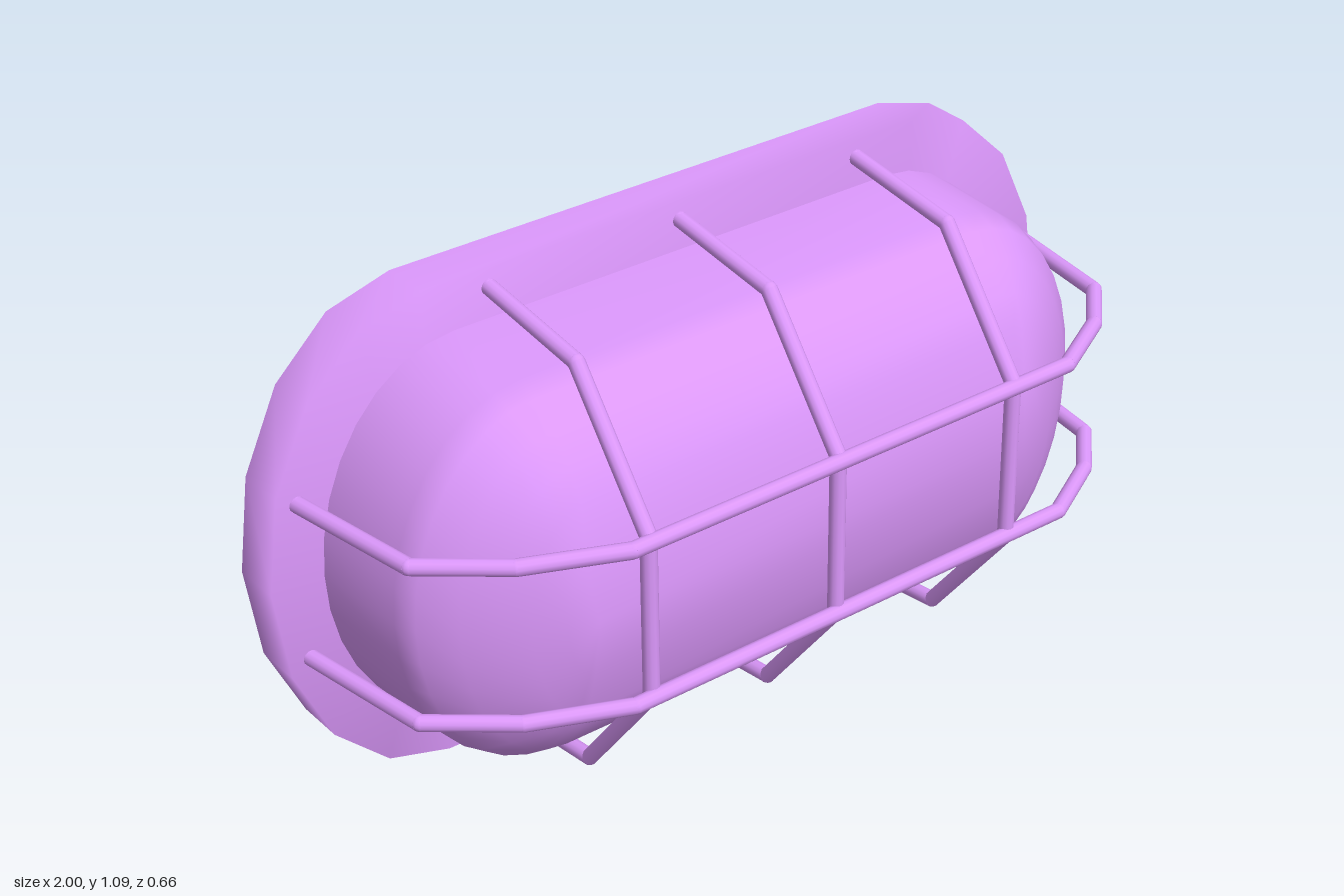
import * as THREE from 'three';
import { mergeVertices } from 'three/addons/utils/BufferGeometryUtils.js';

const CY = 0.545, BACK = -0.327, FRONT = -0.215, FLOOR = -0.235, WIRE_END = -0.242;
const purple = new THREE.MeshStandardMaterial({ color: 0xdc98fc });
const purpleShell = new THREE.MeshStandardMaterial({ color: 0xdc98fc, side: THREE.DoubleSide });
const greenShell = new THREE.MeshStandardMaterial({ color: 0xb4e474, side: THREE.DoubleSide });

// Smooth loft through stadium sections [z, end length, half height],
// each with a straight middle of half length `core` and elliptical ends of n segments
function loft(name, core, n, sections, material) {
  const pos = [], idx = [], count = 2 * (n + 1);
  for (const [z, endX, halfY] of sections) {
    for (const side of [1, -1]) {
      for (let i = 0; i <= n; i++) {
        const a = -Math.PI / 2 + (Math.PI * i) / n;
        pos.push(side * (core + endX * Math.cos(a)), CY + side * halfY * Math.sin(a), z);
      }
    }
  }
  for (let s = 0; s < sections.length - 1; s++) {
    for (let i = 0; i < count; i++) {
      const a = s * count + i, b = s * count + ((i + 1) % count);
      idx.push(a, b, b + count, a, b + count, a + count);
    }
  }
  let geo = new THREE.BufferGeometry();
  geo.setAttribute('position', new THREE.Float32BufferAttribute(pos, 3));
  geo.setIndex(idx);
  geo = mergeVertices(geo);
  geo.computeVertexNormals();
  const mesh = new THREE.Mesh(geo, material);
  mesh.name = name;
  return mesh;
}

// Bent wire: straight rods with round elbows
function wire(name, points, radius = 0.0175) {
  const group = new THREE.Group();
  group.name = name;
  points.forEach((p, i) => {
    if (i === points.length - 1) return;
    const dir = points[i + 1].clone().sub(p);
    const rod = new THREE.Mesh(new THREE.CylinderGeometry(radius, radius, dir.length(), 12), purple);
    rod.name = 'rod';
    rod.position.copy(p).addScaledVector(dir, 0.5);
    rod.quaternion.setFromUnitVectors(new THREE.Vector3(0, 1, 0), dir.normalize());
    group.add(rod);
    if (i > 0) {
      const elbow = new THREE.Mesh(new THREE.SphereGeometry(radius, 12, 8), purple);
      elbow.name = 'elbow';
      elbow.position.copy(p);
      group.add(elbow);
    }
  });
  return group;
}

export function createModel() {
  const model = new THREE.Group();
  model.name = 'bulkheadLamp';

  // Mounting plate: a shallow tray, open at the back
  model.add(loft('plateShell', 0.62, 8, [
    [BACK, 0.38, 0.543], [FRONT, 0.38, 0.543], [FRONT, 0, 0],
  ], purpleShell));
  model.add(loft('plateInside', 0.62, 8, [
    [BACK, 0.378, 0.541], [FLOOR, 0.375, 0.538], [FLOOR, 0, 0],
  ], purpleShell));

  // Thin gasket ridge standing on the tray floor
  model.add(loft('gasket', 0.5, 8, [[-0.28, 0.292, 0.405], [FLOOR, 0.292, 0.405]], greenShell));

  // Dome cover
  model.add(loft('domeCover', 0.55, 16, [
    [FLOOR, 0.332, 0.437], [FRONT, 0.33, 0.435], [0.01, 0.313, 0.428], [0.06, 0.296, 0.409],
    [0.12, 0.235, 0.365], [0.165, 0.175, 0.305], [0.2, 0.12, 0.243], [0.229, 0.06, 0.13], [0.25, 0, 0],
  ], purple));

  // Upright guard wires
  const upright = [[0.507, WIRE_END], [0.503, FRONT], [0.465, 0.075], [0.185, 0.295]];
  for (const x of [-0.465, 0, 0.465]) {
    const half = (side) => upright.map(([y, z]) => new THREE.Vector3(x, CY + side * y, z));
    model.add(wire('uprightGuardWire', [...half(1), ...half(-1).reverse()]));
  }

  // Lengthwise guard wires
  const lengthwise = [
    [-0.93, WIRE_END], [-0.925, FRONT], [-0.875, 0.1], [-0.72, 0.225], [-0.515, 0.312],
    [0.61, 0.303], [0.775, 0.21], [0.88, 0.1], [0.925, FRONT], [0.93, WIRE_END],
  ];
  for (const y of [0.368, 0.727]) {
    model.add(wire('lengthwiseGuardWire', lengthwise.map(([x, z]) => new THREE.Vector3(x, y, z))));
  }
  return model;
}
